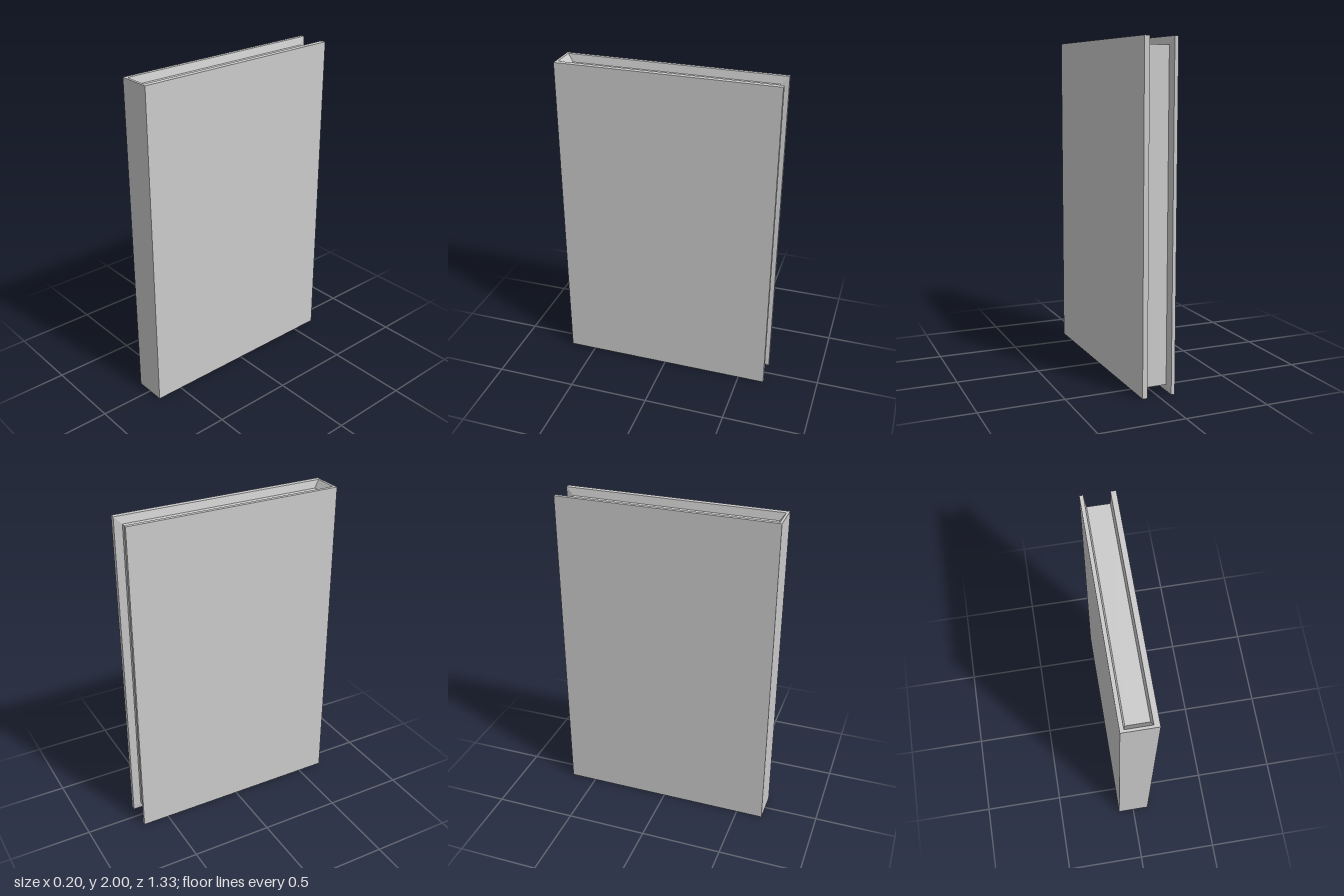
import * as THREE from 'three';
import { ConvexGeometry } from 'three/addons/geometries/ConvexGeometry.js';

const H = 2, Z = 0.665; // cover height and half depth
const INSET = 0.046; // how far the pages sit back from the cover edges
const PAGE_L = 0.06, PAGE_R = -0.068; // page faces in x

export function createModel() {
  const book = new THREE.Group();
  book.name = 'book';
  const material = new THREE.MeshStandardMaterial({ color: 0xcccccc });
  const add = (name, geometry) => {
    const mesh = new THREE.Mesh(geometry, material);
    mesh.name = name;
    book.add(mesh);
    return mesh;
  };

  // Cover board: flat outer face, straight rim, inner edge sloping in to the pages
  const board = (name, outer, rim, inner) => {
    const points = [];
    for (const [x, inset] of [[outer, 0], [rim, 0], [inner, INSET]])
      for (const y of [inset, H - inset])
        for (const z of [Z - inset, inset - Z]) points.push(new THREE.Vector3(x, y, z));
    add(name, new ConvexGeometry(points));
  };
  board('leftCover', 0.1, 0.069, PAGE_L);
  board('rightCover', -0.1, -0.078, PAGE_R);

  // Spine: fills the front between the boards, with the same sloped inner edge
  const spine = [];
  for (const x of [0.069, -0.078])
    for (const [z, inset] of [[Z, 0], [0.65, 0], [Z - INSET, INSET]])
      for (const y of [inset, H - inset]) spine.push(new THREE.Vector3(x, y, z));
  add('spine', new ConvexGeometry(spine));

  // Page block
  const pages = add('pages', new THREE.BoxGeometry(PAGE_L - PAGE_R, H - 2 * INSET, 2 * (Z - INSET)));
  pages.position.set((PAGE_L + PAGE_R) / 2, H / 2, 0);

  return book;
}
